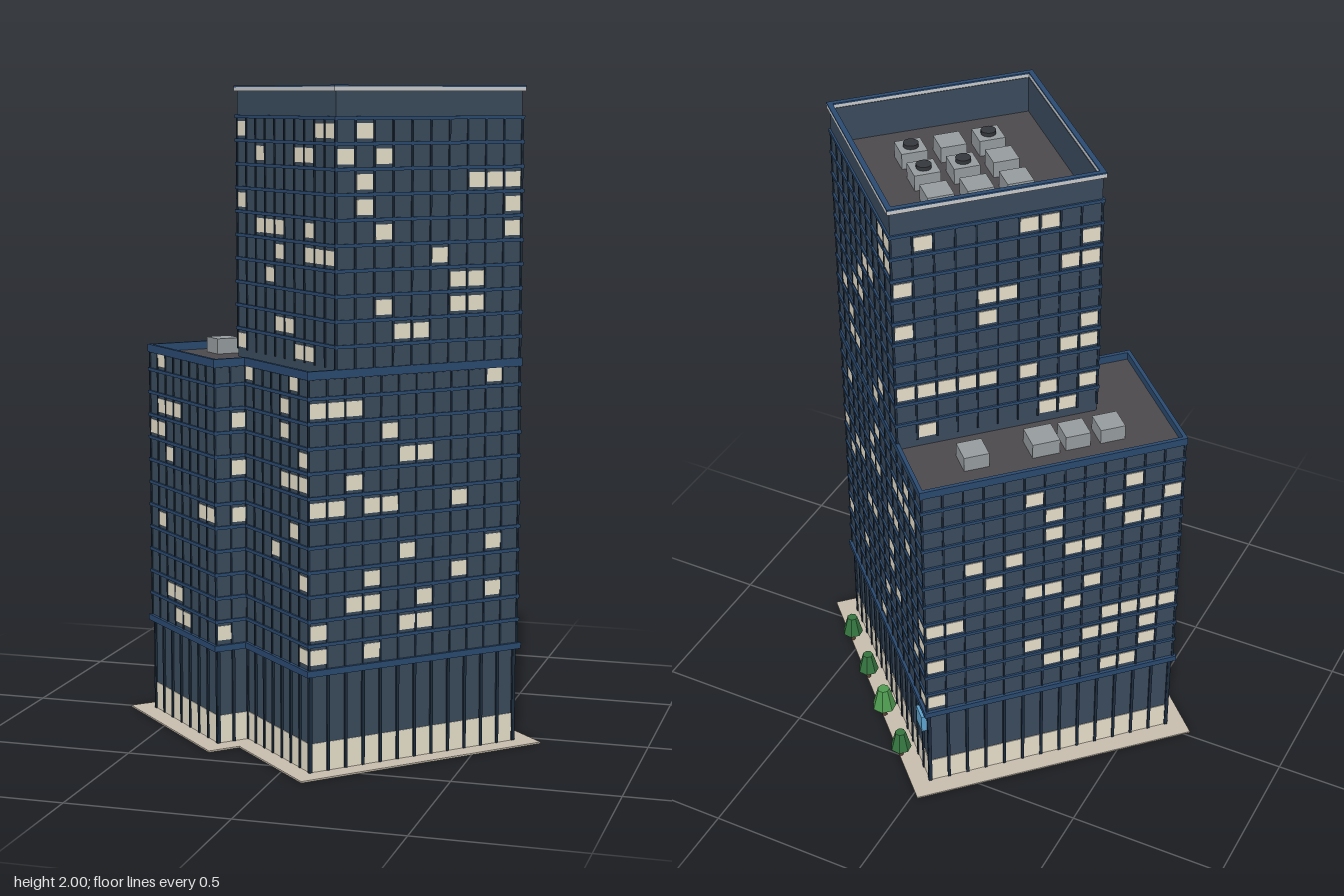
import * as THREE from 'three';
import { mergeGeometries } from 'three/addons/utils/BufferGeometryUtils.js';

const mat = (color, flat = false) => new THREE.MeshStandardMaterial({ color, flatShading: flat });
const M = {
  glass: mat(0x3a4b5c), trim: mat(0x2a4a70), mullion: mat(0x1d2c3e), lit: mat(0xe8e0cc),
  roof: mat(0x4c494d), unit: mat(0x969c9f), fan: mat(0x34373b), paving: mat(0xc8beae),
  cap: mat(0xc4c6c6), sign: mat(0x5fa5d0), trunk: mat(0x5a4030),
  leaf: mat(0x35753f, true), leafLight: mat(0x4f9c50, true),
};

// Footprints as counter-clockwise outlines (x, -z) in the building's own axes
const BASE = [[-0.339, -0.465], [0.392, -0.465], [0.392, 0.421], [-0.442, 0.421], [-0.442, -0.062], [-0.339, -0.062]];
const TOWER = [[-0.25, -0.465], [0.392, -0.465], [0.392, 0.177], [-0.25, 0.177]];
const PITCH = 0.061, FLOOR = 0.0724, ROW0 = 0.35;
const BASE_ROOF = 1.165, BASE_TOP = 1.19, TOWER_ROOF = 1.87;

let seed = 11;
const rand = () => (seed = (seed * 16807) % 2147483647) / 2147483647;

// Moves a right-angled outline outwards by d
function offset(pts, d) {
  const n = pts.length;
  const normal = (p, q) => [Math.sign(q[1] - p[1]), -Math.sign(q[0] - p[0])];
  return pts.map((p, i) => {
    const a = normal(pts[(i + n - 1) % n], p), b = normal(p, pts[(i + 1) % n]);
    return [p[0] + d * (a[0] + b[0]), p[1] + d * (a[1] + b[1])];
  });
}

// Upright prism over an outline; wall > 0 leaves only a ring of that width
function prism(pts, y0, y1, wall = 0) {
  const vec = (list) => list.map((p) => new THREE.Vector2(...p));
  const shape = new THREE.Shape(vec(pts));
  if (wall) shape.holes.push(new THREE.Path(vec(offset(pts, -wall))));
  return new THREE.ExtrudeGeometry(shape, { depth: y1 - y0, bevelEnabled: false })
    .rotateX(-Math.PI / 2).translate(0, y0, 0);
}

function add(parent, name, geo, material) {
  const mesh = new THREE.Mesh(Array.isArray(geo) ? mergeGeometries(geo) : geo, material);
  mesh.name = name;
  parent.add(mesh);
  return mesh;
}

// Calls fn(place, columns, pitch) per side; place() makes a box s along the wall
function eachSide(pts, fn) {
  pts.forEach((p, i) => {
    const q = pts[(i + 1) % pts.length];
    const dx = q[0] - p[0], dy = q[1] - p[1], len = Math.hypot(dx, dy);
    const cols = Math.max(1, Math.round(len / PITCH));
    const place = (s, y, w, h, depth) => new THREE.BoxGeometry(w, h, depth)
      .rotateY(Math.atan2(dy, dx))
      .translate(p[0] + dx * s / len, y, -(p[1] + dy * s / len));
    fn(place, cols, len / cols);
  });
}

// Curtain wall: floor bands, mullions and scattered lit windows
function facade(parent, name, outline, y0, y1, first, last) {
  const wall = offset(outline, -0.006);
  const bands = [], mullions = [], windows = [];
  for (let r = first; r <= last; r++) {
    const y = ROW0 + (r + 0.5) * FLOOR;
    if (y < BASE_ROOF || y > BASE_TOP) bands.push(prism(outline, y - 0.005, y + 0.005, 0.012));
  }
  eachSide(wall, (place, cols, pitch) => {
    for (let c = 0; c <= cols; c++) mullions.push(place(c * pitch, (y0 + y1) / 2, 0.006, y1 - y0, 0.007));
    for (let r = first; r <= last; r++) {
      let on = false;
      for (let c = 0; c < cols; c++) {
        on = rand() < (on ? 0.36 : 0.17);
        if (on) windows.push(place((c + 0.5) * pitch, ROW0 + r * FLOOR, 0.053, 0.044, 0.004));
      }
    }
  });
  add(parent, name + 'FloorBands', bands, M.trim);
  add(parent, name + 'Mullions', mullions, M.mullion);
  add(parent, name + 'LitWindows', windows, M.lit);
}

function roofUnit(parent, x, y, z, size, height, fan) {
  const g = new THREE.Group();
  g.name = 'roofUnit';
  g.position.set(x, y, z);
  add(g, 'unitBox', new THREE.BoxGeometry(size, height, size).translate(0, height / 2, 0), M.unit);
  if (fan) add(g, 'unitFan', new THREE.CylinderGeometry(0.023, 0.023, 0.012, 16).translate(0, height + 0.006, 0), M.fan);
  parent.add(g);
}

function tree(parent, z, scale, leaf) {
  const g = new THREE.Group();
  g.name = 'tree';
  add(g, 'trunk', new THREE.CylinderGeometry(0.006, 0.008, 0.04, 6).translate(0, 0.02, 0), M.trunk);
  add(g, 'canopy', new THREE.CylinderGeometry(0.017, 0.034, 0.065, 7).translate(0, 0.068, 0), leaf);
  g.position.set(0.436, 0.004, z);
  g.scale.setScalar(scale);
  parent.add(g);
}

export function createModel() {
  const model = new THREE.Group();
  model.name = 'officeTower';
  // The whole block stands diagonally to the front
  const b = new THREE.Group();
  b.name = 'building';
  b.rotation.y = Math.PI / 4;
  model.add(b);

  add(b, 'pavement', prism(offset(BASE, 0.05), 0, 0.005), M.paving);

  // Ground storey: tall glazing, lit strip at street level, dark posts
  const ground = offset(BASE, -0.013);
  add(b, 'groundGlass', prism(ground, 0.005, 0.3), M.glass);
  const posts = [], strip = [];
  eachSide(ground, (place, cols, pitch) => {
    for (let c = 0; c <= cols; c++) posts.push(place(c * pitch, 0.15, 0.009, 0.29, 0.012));
    for (let c = 0; c < cols; c++) strip.push(place((c + 0.5) * pitch, 0.048, pitch - 0.008, 0.086, 0.004));
  });
  add(b, 'groundPosts', posts, M.mullion);
  add(b, 'shopWindows', strip, M.lit);
  add(b, 'canopyBand', prism(offset(BASE, 0.004), 0.295, 0.314), M.trim);
  add(b, 'sign', new THREE.BoxGeometry(0.02, 0.06, 0.058).translate(0.392, 0.253, -0.376), M.sign);

  // Lower block
  add(b, 'lowerWalls', prism(offset(BASE, -0.006), 0.314, BASE_ROOF - 0.002), M.glass);
  facade(b, 'lower', BASE, 0.314, BASE_ROOF, 0, 11);
  add(b, 'lowerRoof', prism(offset(BASE, -0.008), BASE_ROOF - 0.002, BASE_ROOF), M.roof);
  add(b, 'lowerParapet', prism(BASE, BASE_ROOF, BASE_TOP, 0.012), M.trim);

  // Tower
  const wall = offset(TOWER, -0.006);
  add(b, 'towerWalls', prism(wall, BASE_ROOF, TOWER_ROOF - 0.002), M.glass);
  facade(b, 'tower', TOWER, BASE_TOP, 1.906, 12, 21);
  add(b, 'towerRoof', prism(offset(TOWER, -0.008), TOWER_ROOF - 0.002, TOWER_ROOF), M.roof);
  add(b, 'towerParapet', prism(wall, TOWER_ROOF - 0.002, 1.985, 0.01), M.glass);
  add(b, 'towerCap', prism(offset(TOWER, 0.002), 1.983, 1.995, 0.016), M.cap);
  add(b, 'towerCoping', prism(offset(TOWER, 0.002), 1.995, 2, 0.016), M.trim);

  // Rooftop equipment
  const fans = ['0,1', '1,1', '0,2', '2,2'];
  for (let i = 0; i < 3; i++) for (let j = 0; j < 3; j++)
    roofUnit(b, 0.192 - 0.12 * i, TOWER_ROOF, 0.014 + 0.13 * j, 0.08, 0.05, fans.includes(`${i},${j}`));
  for (const [x, size] of [[0.19, 0.078], [-0.025, 0.086], [-0.127, 0.078], [-0.237, 0.078]])
    roofUnit(b, x, BASE_ROOF, -0.294, size, 0.048, false);

  // Street trees
  [-0.27, -0.075, 0.117, 0.314].forEach((z, i) => tree(b, z, i === 1 ? 1.16 : 1, i === 1 ? M.leafLight : M.leaf));
  return model;
}
